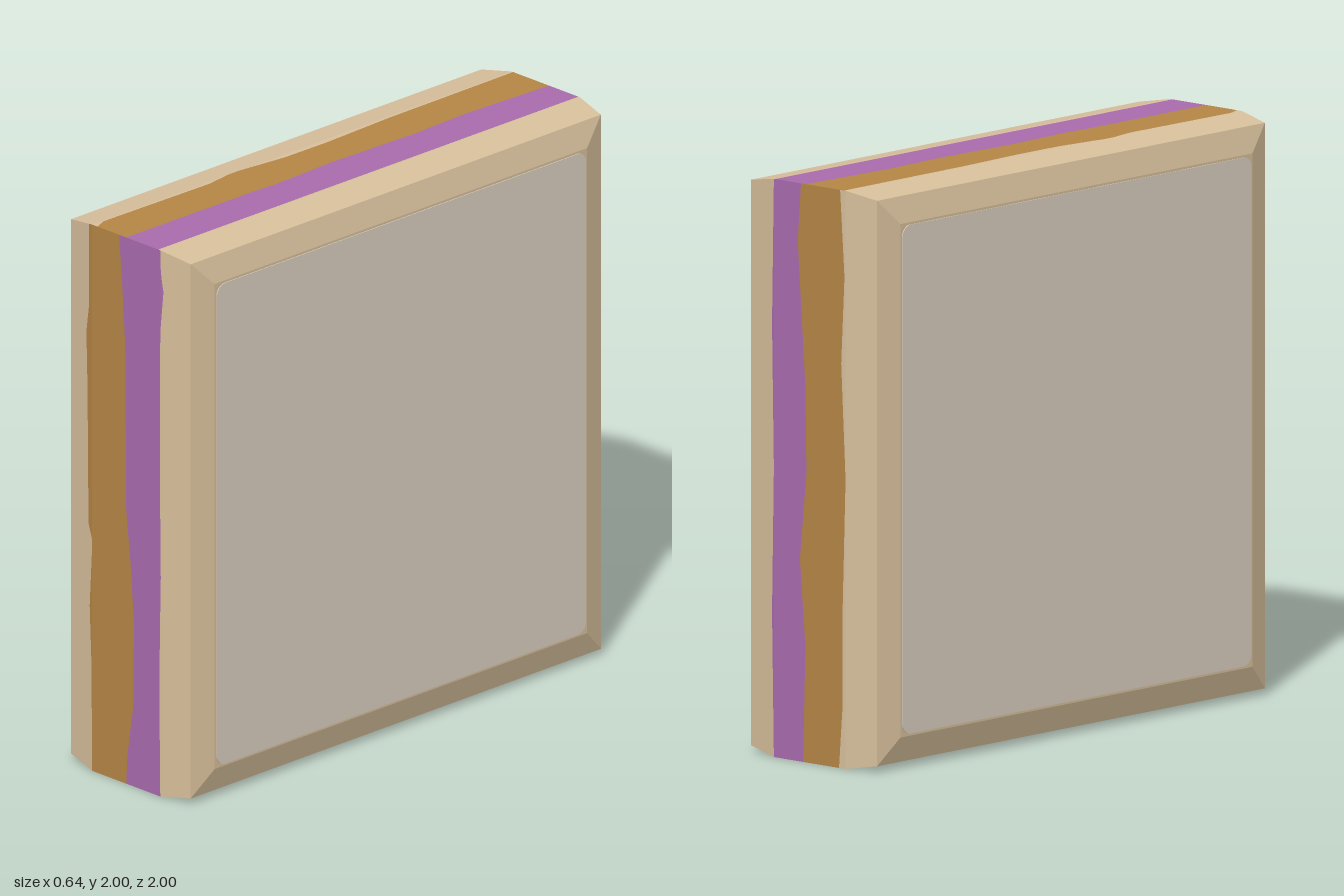
import * as THREE from 'three';

const material = (name, color) => {
  const m = new THREE.MeshStandardMaterial({ color });
  m.name = name;
  return m;
};

// Cross-section: half height of the slab at a given x
const PROFILE = [[0.165, 1], [0.29, 0.978], [0.315, 0.888]];
const EDGE = PROFILE[0][0], SHOULDER = PROFILE[1][0], FACE = PROFILE[2][0];

// Piecewise linear lookup in a list of [position, value]
function lookup(points, p) {
  if (p <= points[0][0]) return points[0][1];
  for (let i = 1; i < points.length; i++) {
    const [p0, v0] = points[i - 1], [p1, v1] = points[i];
    if (p <= p1) return v0 + (v1 - v0) * (p - p0) / (p1 - p0);
  }
  return points[points.length - 1][1];
}

// Wavy colour borders on each rim side: left, middle and right, as [t, x]
const SIDES = [
  { name: 'front',
    left: [[-1, -0.165], [-0.6, -0.17], [-0.4, -0.18], [-0.2, -0.167], [-0.15, -0.167], [-0.1, -0.187], [0.4, -0.193], [0.62, -0.2], [0.68, -0.184], [1, -0.185]],
    middle: [[-1, 0], [-0.9, 0.005], [-0.7, 0.035], [-0.4, 0.037], [-0.2, 0.022], [0, 0], [0.6, -0.005], [0.8, -0.018], [1, -0.035]],
    right: [[-1, 0.165], [-0.6, 0.16], [-0.2, 0.167], [0.2, 0.163], [0.7, 0.165], [0.85, 0.178], [0.93, 0.165], [1, 0.165]] },
  { name: 'top',
    left: [[-1, -0.14], [-0.95, -0.16], [-0.42, -0.152], [-0.38, -0.168], [-0.3, -0.168], [-0.1, -0.145], [0.1, -0.143], [0.4, -0.155], [1, -0.158]],
    middle: [[-1, 0], [-0.4, 0.003], [-0.3, 0.008], [0, -0.002], [0.35, 0.01], [0.6, 0], [1, 0.016]],
    right: [[-1, 0.155], [1, 0.158]] },
  { name: 'back',
    left: [[-1, -0.14], [-0.7, -0.16], [-0.4, -0.145], [0, -0.165], [0.5, -0.15], [0.8, -0.15], [1, -0.135]],
    middle: [[-1, 0.04], [-0.8, 0.055], [-0.3, 0.02], [0, 0.015], [0.3, 0.045], [0.6, 0.02], [1, 0.03]],
    right: [[-1, 0.165], [-0.5, 0.175], [0, 0.165], [0.5, 0.175], [1, 0.165]] },
  { name: 'bottom',
    left: [[-1, -0.15], [-0.4, -0.165], [0.2, -0.15], [1, -0.165]],
    middle: [[-1, 0.02], [-0.3, 0], [0.4, 0.012], [1, 0]],
    right: [[-1, 0.165], [0, 0.158], [1, 0.165]] },
];

// One coloured band along one rim side; columns(t) lists the x values across it
function bandGeometry(angle, columns) {
  const steps = 40, c = Math.cos(angle), s = Math.sin(angle), positions = [];
  const point = (x, t) => {
    const h = lookup(PROFILE, Math.abs(x));
    return [x, 1 + t * h * c + h * s, h * c - t * h * s];
  };
  for (let i = 0; i < steps; i++) {
    const t0 = -1 + 2 * i / steps, t1 = -1 + 2 * (i + 1) / steps;
    const a = columns(t0), b = columns(t1);
    for (let j = 0; j < a.length - 1; j++) {
      const p = point(a[j], t0), q = point(a[j + 1], t0);
      const r = point(b[j + 1], t1), u = point(b[j], t1);
      positions.push(...p, ...q, ...r, ...p, ...r, ...u);
    }
  }
  const g = new THREE.BufferGeometry();
  g.setAttribute('position', new THREE.Float32BufferAttribute(positions, 3));
  g.computeVertexNormals();
  return g;
}

function roundedSquare(half, r) {
  const s = new THREE.Shape();
  const k = half - r;
  s.absarc(k, k, r, 0, Math.PI / 2);
  s.absarc(-k, k, r, Math.PI / 2, Math.PI);
  s.absarc(-k, -k, r, Math.PI, Math.PI * 1.5);
  s.absarc(k, -k, r, Math.PI * 1.5, Math.PI * 2);
  return s;
}

export function createModel() {
  const model = new THREE.Group();
  model.name = 'slicedSandwich';
  const crust = material('crust tan', 0xd8c09c);
  const crumb = material('crumb cream', 0xdacfc0);
  const brown = material('brown filling', 0xb58545);
  const purple = material('purple filling', 0xa96cad);

  const add = (parent, name, geometry, mat) => {
    const mesh = new THREE.Mesh(geometry, mat);
    mesh.name = name;
    parent.add(mesh);
    return mesh;
  };

  // Rim: crust, two fillings and crust again on all four sides
  SIDES.forEach((side, i) => {
    const group = new THREE.Group();
    group.name = side.name + 'Rim';
    model.add(group);
    const angle = i * Math.PI / 2;
    const L = t => lookup(side.left, t), M = t => lookup(side.middle, t), R = t => lookup(side.right, t);
    const bands = [
      ['rightCrust', crust, t => [-FACE, -SHOULDER, Math.min(L(t), -EDGE), L(t)]],
      ['brownFilling', brown, t => [L(t), Math.max(L(t), -EDGE), M(t)]],
      ['purpleFilling', purple, t => [M(t), Math.min(R(t), EDGE), R(t)]],
      ['leftCrust', crust, t => [R(t), Math.max(R(t), EDGE), SHOULDER, FACE]],
    ];
    for (const [name, mat, columns] of bands) add(group, name, bandGeometry(angle, columns), mat);
  });

  // Large faces: a flat crust border with a thin crumb panel on it
  const panel = new THREE.ExtrudeGeometry(roundedSquare(0.88, 0.04), { depth: 0.003, bevelEnabled: false, curveSegments: 6 });
  const border = new THREE.PlaneGeometry(2 * PROFILE[2][1], 2 * PROFILE[2][1]);
  for (const [name, sign] of [['left', 1], ['right', -1]]) {
    const face = new THREE.Group();
    face.name = name + 'Face';
    face.position.set(sign * FACE, 1, 0);
    face.rotation.y = sign * Math.PI / 2;
    add(face, name + 'CrustBorder', border, crust);
    add(face, name + 'CrumbPanel', panel, crumb);
    model.add(face);
  }
  return model;
}
